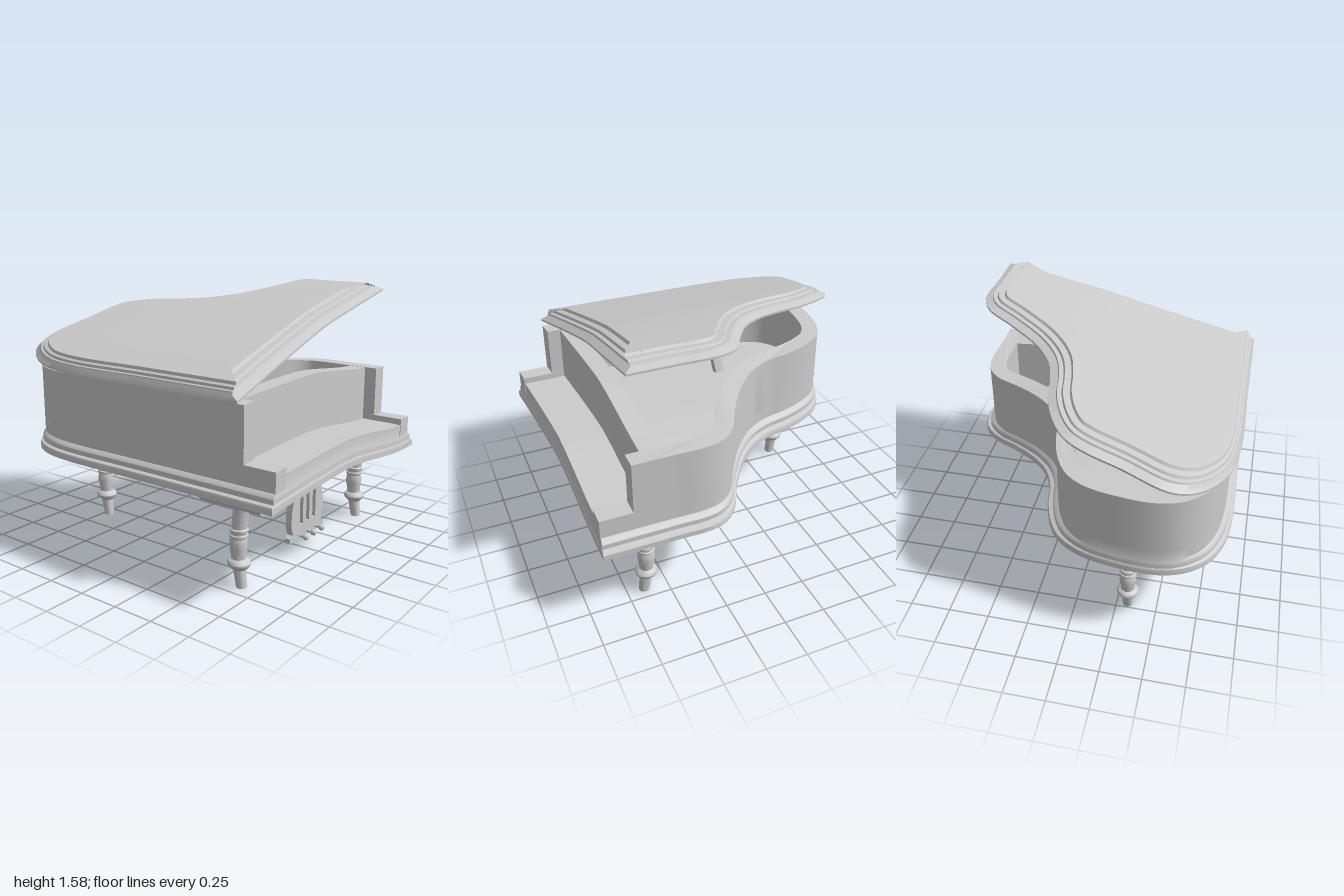
import * as THREE from 'three';
import { toCreasedNormals } from 'three/addons/utils/BufferGeometryUtils.js';

const { clamp, smoothstep } = THREE.MathUtils;
const material = new THREE.MeshStandardMaterial({ color: 0xcccccc, side: THREE.DoubleSide });
const CENTRE = [-0.3, 0.2];

// Curved side of the plan, from the right front corner round the tail to the left front corner.
const bentSide = [[0.82, 0.5], [0.82, 0.3], [0.79, 0.19], [0.71, 0.1], [0.55, 0.01], [0.38, -0.11],
  [0.25, -0.25], [0.18, -0.4], [0.15, -0.55], [0.1, -0.7], [0.02, -0.83], [-0.1, -0.91], [-0.3, -0.955],
  [-0.48, -0.965], [-0.62, -0.93], [-0.74, -0.83], [-0.81, -0.68], [-0.84, -0.48], [-0.84, 0]];
const lidSide = [[0.78, 0.45], [0.78, 0.2], [0.72, 0.09], [0.55, -0.01], [0.36, -0.14], [0.25, -0.28],
  [0.2, -0.44], [0.17, -0.6], [0.1, -0.77], [0.01, -0.88], [-0.1, -0.925], [-0.3, -0.955], [-0.55, -1],
  [-0.66, -0.96], [-0.76, -0.86], [-0.85, -0.68], [-0.89, -0.43], [-0.89, 0.1]];

function planCurve(side, right, left, front) {
  const pts = [[right, front], ...side, [left, front]].map(([x, z]) => new THREE.Vector3(x, 0, z));
  return new THREE.CatmullRomCurve3(pts, false, 'centripetal').getSpacedPoints(110).map(p => [p.x, p.z]);
}

function closeFront(curve) {
  const a = curve[curve.length - 1], b = curve[0], out = [...curve];
  for (let i = 1; i < 14; i++) out.push([a[0] + (b[0] - a[0]) * i / 14, a[1]]);
  return out;
}

// Mitred offset of a closed outline; weigh adjusts the offset by direction.
function offset(outline, d, weigh = (x, z) => [x, z]) {
  const n = outline.length;
  const normal = (p, q) => {
    const l = Math.hypot(q[0] - p[0], q[1] - p[1]) || 1;
    return [-(q[1] - p[1]) / l, (q[0] - p[0]) / l];
  };
  return outline.map((p, i) => {
    const a = normal(outline[(i + n - 1) % n], p), b = normal(p, outline[(i + 1) % n]);
    const k = 1 + a[0] * b[0] + a[1] * b[1];
    const w = weigh((a[0] + b[0]) / k, (a[1] + b[1]) / k);
    return [p[0] + w[0] * d, p[1] + w[1] * d];
  });
}

// Skin over [offset, height, scale towards the centre] rings of an outline.
function loft(outline, profile, weigh) {
  const n = outline.length, pos = [], idx = [];
  profile.forEach(([d, y, s = 1], r) => {
    offset(outline, d, weigh).forEach(([x, z], i) => {
      pos.push(CENTRE[0] + (x - CENTRE[0]) * s, y, CENTRE[1] + (z - CENTRE[1]) * s);
      if (!r) return;
      const a = (r - 1) * n + i, b = (r - 1) * n + (i + 1) % n;
      idx.push(a, b, b + n, a, b + n, a + n);
    });
  });
  const g = new THREE.BufferGeometry();
  g.setAttribute('position', new THREE.Float32BufferAttribute(pos, 3));
  g.setIndex(idx);
  return g;
}
const capIn = (d, y) => [0, 0.2, 0.4, 0.6, 0.8].map(s => [d, y, s]);
const capOut = (d, y) => capIn(d, y).reverse();

function deform(g, rule) {
  const p = g.attributes.position, v = new THREE.Vector3();
  for (let i = 0; i < p.count; i++) {
    rule(v.fromBufferAttribute(p, i));
    p.setXYZ(i, v.x, v.y, v.z);
  }
  return g;
}

// The case drops towards its right side and its front bows forward on the other.
const bow = v => { v.z += 0.055 * clamp(-v.x / 0.89, 0, 1) ** 1.3 * clamp(v.z / 0.7, 0, 1); };
const caseBend = v => { bow(v); v.y -= 0.07 * smoothstep(v.x, -0.02, 0.78); };
const lidBend = v => {
  bow(v);
  v.y += 1.105 + 0.28 * (Math.min(v.x, 0.1) + 0.89) + 0.205 * Math.max(0, v.x - 0.1);
};

export function createModel() {
  const piano = new THREE.Group();
  const add = (name, g, x = 0, y = 0, z = 0, parent = piano) => {
    const m = new THREE.Mesh(toCreasedNormals(g, 0.6), material);
    m.name = name;
    m.position.set(x, y, z);
    parent.add(m);
    return m;
  };

  // Base with stepped moulding and key bed
  const base = closeFront(planCurve(bentSide, 0.82, -0.84, 0.92));
  add('base', deform(loft(base, [
    ...capIn(0.05, 0.57), [0.05, 0.57], [0.05, 0.6], [0.045, 0.61], [0.025, 0.617], [0.025, 0.645],
    [0.018, 0.655], [0, 0.667], [0, 0.74], ...capOut(0, 0.74),
  ], (x, z) => [x > 0 ? x * 1.4 : x, z * 0.25]), caseBend));

  // Rim wall, open at the front
  const outer = planCurve(bentSide, 0.82, -0.84, 0.73);
  const inner = offset(closeFront(outer), -0.105).slice(0, outer.length);
  inner[0][1] = inner[inner.length - 1][1] = 0.73;
  const rimShape = new THREE.Shape([...outer, ...inner.reverse()].map(([x, z]) => new THREE.Vector2(x, -z)));
  const rim = new THREE.ExtrudeGeometry(rimShape, { depth: 0.355, bevelEnabled: false });
  rim.rotateX(-Math.PI / 2).translate(0, 0.735, 0);
  add('rim', deform(rim, caseBend));

  // Front panel and key arms
  const panel = new THREE.BoxGeometry(1.46, 0.353, 0.11, 28, 1, 1).translate(-0.01, 0.9115, 0.595);
  add('frontPanel', deform(panel, caseBend));
  for (const [name, x] of [['leftArm', 0.765], ['rightArm', -0.785]]) {
    const arm = new THREE.BoxGeometry(0.11, 0.115, 0.23, 3, 1, 4).translate(x, 0.7225, 0.809);
    add(name, deform(arm, caseBend));
  }

  // Raised lid with stepped edge
  const lid = closeFront(planCurve(lidSide, 0.78, -0.89, 0.72));
  add('lid', deform(loft(lid, [
    ...capIn(0, 0), [0, 0], [0, 0.012], [-0.045, 0.035], [-0.05, 0.046], [-0.075, 0.048],
    [-0.083, 0.062], [-0.12, 0.066], [-0.13, 0.082], ...capOut(-0.13, 0.084),
  ], (x, z) => [x < 0 ? x * 0.4 : x, z]), lidBend));

  // Lid prop
  const prop = add('lidProp', new THREE.BoxGeometry(0.06, 0.42, 0.05), -0.11, 1.14, -0.135);
  prop.rotation.set(0.12, 0, 0.3);

  // Turned legs under rounded blocks
  const legProfile = [[0, 0], [0.031, 0], [0.037, 0.105], [0.048, 0.112], [0.064, 0.13], [0.067, 0.142],
    [0.06, 0.157], [0.042, 0.168], [0.043, 0.19], [0.051, 0.235], [0.05, 0.27], [0.045, 0.288],
    [0.053, 0.295], [0.053, 0.308], [0.047, 0.313], [0.047, 0.32], [0.053, 0.326], [0.053, 0.34],
    [0.044, 0.347], [0.045, 0.5]].map(([r, y]) => new THREE.Vector2(r, y));
  const blockShape = new THREE.Shape();
  blockShape.moveTo(-0.13, 0.085).lineTo(-0.13, 0.05).quadraticCurveTo(-0.125, 0, -0.07, 0)
    .lineTo(0.07, 0).quadraticCurveTo(0.125, 0, 0.13, 0.05).lineTo(0.13, 0.085);
  const legs = [['frontLeftLeg', 0.675, 0.645, 0.475, 0], ['frontRightLeg', -0.66, 0.645, 0.49, 0],
    ['backLeg', -0.32, -0.715, 0.49, Math.PI / 2]];
  for (const [name, x, z, top, turn] of legs) {
    const leg = new THREE.Group();
    leg.name = name;
    leg.position.set(x, 0, z);
    piano.add(leg);
    const turned = deform(new THREE.LatheGeometry(legProfile, 24), v => {
      v.z -= 0.022 * Math.sin(Math.PI * clamp(v.y / 0.49, 0, 1));
    });
    add('turnedLeg', turned, 0, 0, 0, leg);
    const block = new THREE.ExtrudeGeometry(blockShape, { depth: 0.4, bevelEnabled: false, curveSegments: 8 });
    add('legBlock', block.translate(0, 0, -0.2).rotateY(turn), 0, top, 0, leg);
  }

  // Pedal lyre with slots
  const lyreSide = [[0.195, 0.09], [0.195, 0.12], [0.165, 0.135], [0.185, 0.19], [0.182, 0.28], [0.15, 0.39],
    [0.147, 0.44], [0.165, 0.49], [0.21, 0.535], [0.21, 0.56]];
  const lyreShape = new THREE.Shape([...lyreSide, ...lyreSide.map(([x, y]) => [-x, y]).reverse()]
    .map(([x, y]) => new THREE.Vector2(x, y)));
  for (const x of [-0.073, 0, 0.073]) {
    lyreShape.holes.push(new THREE.Path([[-1, 0.18], [-1, 0.49], [1, 0.49], [1, 0.18]]
      .map(([s, y]) => new THREE.Vector2(x + s * 0.018, y))));
  }
  add('pedalLyre', new THREE.ExtrudeGeometry(lyreShape, { depth: 0.04, bevelEnabled: false }), 0.003, 0, 0.625);

  // Pedals
  for (const x of [-0.09, 0.003, 0.098]) {
    add('pedalRod', new THREE.CylinderGeometry(0.009, 0.009, 0.06, 10).rotateX(Math.PI / 2), x, 0.115, 0.68);
    add('pedalKnob', new THREE.SphereGeometry(0.02, 16, 10), x, 0.115, 0.71);
  }
  return piano;
}
